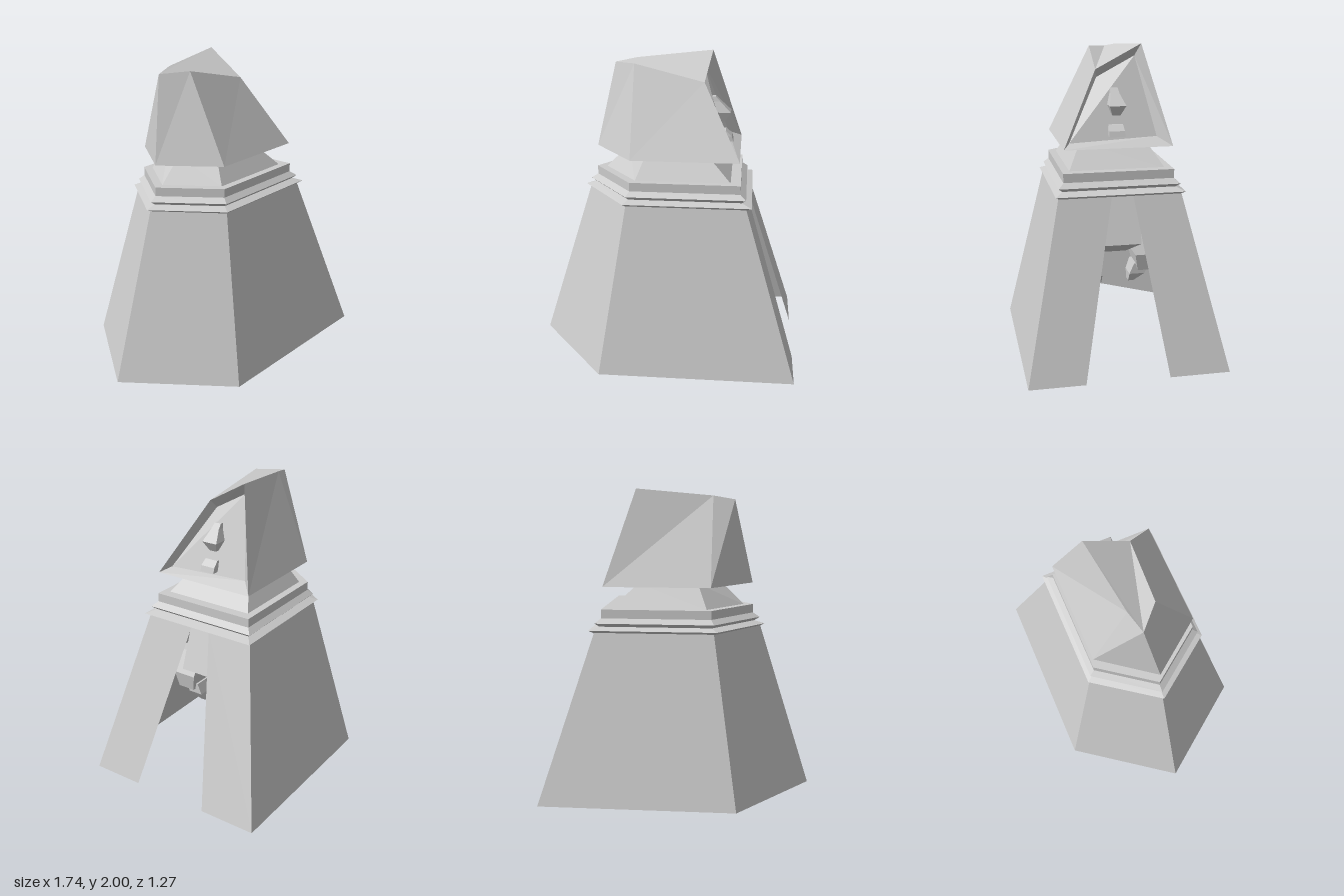
import * as THREE from 'three';

const material = new THREE.MeshStandardMaterial({
  color: 0xcccccc, flatShading: true, side: THREE.DoubleSide,
});

// Flat polygons, each a short loop of [x, y, z] corners
function facets(name, polygons) {
  const pos = [];
  for (const p of polygons) {
    for (let i = 1; i < p.length - 1; i++) pos.push(...p[0], ...p[i], ...p[i + 1]);
  }
  const geo = new THREE.BufferGeometry();
  geo.setAttribute('position', new THREE.Float32BufferAttribute(pos, 3));
  geo.computeVertexNormals();
  const mesh = new THREE.Mesh(geo, material);
  mesh.name = name;
  return mesh;
}

// Skin between successive loops of equal corner count, with optional end caps
function loft(name, loops, caps = true) {
  const polygons = [];
  for (let k = 0; k < loops.length - 1; k++) {
    const a = loops[k], b = loops[k + 1], n = a.length;
    for (let i = 0; i < n; i++) {
      const j = (i + 1) % n;
      polygons.push([a[i], b[i], b[j], a[j]]);
    }
  }
  if (caps) polygons.push(loops[0], [...loops[loops.length - 1]].reverse());
  return facets(name, polygons);
}

// Five-sided plan: point at the back (-x), flat at the front (+x)
const pentagon = (y, back, mid, front, z) => [
  [back, y, 0], [mid, y, -z], [front, y, -z], [front, y, z], [mid, y, z],
];

// Rectangular section
const rect = (y, x0, x1, z0, z1) => [[x0, y, z0], [x1, y, z0], [x1, y, z1], [x0, y, z1]];

export function createModel() {
  const model = new THREE.Group();
  model.name = 'hoodedFigure';

  // Cloak: flared thin shell, parted down the front
  const lo = pentagon(0, -0.87, -0.4, 0.87, 0.635);
  const hi = pentagon(1.09, -0.53, -0.24, 0.53, 0.39);
  const cloak = [0, 1, 3, 4].map((i) => {
    const j = (i + 1) % 5;
    return [lo[i], hi[i], hi[j], lo[j]];
  });
  cloak.push([lo[2], hi[2], [0.53, 1.09, -0.08], [0.87, 0, -0.25]]);
  cloak.push([lo[3], [0.87, 0, 0.28], [0.53, 1.09, 0.055], hi[3]]);
  model.add(facets('cloak', cloak));

  // Stepped collar with two sharp ridges
  model.add(loft('collar', [
    pentagon(1.085, -0.52, -0.24, 0.53, 0.385),
    pentagon(1.105, -0.56, -0.26, 0.565, 0.41),
    pentagon(1.125, -0.49, -0.225, 0.5, 0.36),
    pentagon(1.148, -0.525, -0.24, 0.527, 0.385),
    pentagon(1.178, -0.48, -0.22, 0.49, 0.352),
    pentagon(1.235, -0.48, -0.22, 0.49, 0.352),
    pentagon(1.235, -0.42, -0.19, 0.43, 0.307),
  ]));

  // Neck rising into the hood
  model.add(loft('neck', [
    pentagon(1.23, -0.42, -0.19, 0.43, 0.307),
    pentagon(1.39, -0.26, -0.125, 0.27, 0.21),
  ]));

  // Chest inside the parted cloak
  model.add(loft('chest', [
    rect(0.62, 0.1, 0.22, -0.105, 0.11),
    rect(0.77, 0.1, 0.54, -0.135, 0.13),
    rect(1.09, 0.1, 0.42, -0.135, 0.13),
  ]));

  // Hood: skewed shell with a slanting crown
  const B = [-0.475, 1.38, 0];
  const BL = [-0.215, 1.38, 0.345], BR = [-0.215, 1.38, -0.345];
  const FL = [0.48, 1.38, 0.345], FR = [0.48, 1.38, -0.345];
  const tB = [-0.355, 1.93, -0.07];
  const tL = [-0.215, 1.945, 0.065], tR = [-0.215, 1.955, -0.11];
  const tFL = [0.24, 1.84, 0.105], tFR = [0.28, 2.0, -0.18];
  model.add(facets('hood', [
    [BL, FL, tFL, tL],
    [B, BL, tL, tB],
    [BR, B, tB, tR],
    [FR, BR, tR, tFR],
    [tB, tL, tFL, tFR, tR],
    [B, BR, FR, FL, BL],
  ]));

  // Bevelled rim leading in to the sunken face
  const outer = [FL, FR, tFR, tFL];
  const inner = [[0.4, 1.405, 0.3], [0.39, 1.43, -0.26], [0.22, 1.92, -0.15], [0.19, 1.785, 0.09]];
  model.add(facets('hoodRim', outer.map((p, i) => {
    const j = (i + 1) % 4;
    return [p, outer[j], inner[j], inner[i]];
  })));
  model.add(facets('face', [inner]));

  // Nose and mouth
  model.add(loft('nose', [
    rect(1.565, 0.3, 0.37, -0.03, 0.02),
    rect(1.63, 0.27, 0.41, -0.06, 0.045),
    rect(1.7, 0.25, 0.34, -0.03, 0.025),
    rect(1.73, 0.23, 0.31, -0.025, 0.02),
  ]));
  model.add(loft('mouth', [
    rect(1.44, 0.34, 0.43, -0.05, 0.05),
    rect(1.475, 0.33, 0.42, -0.05, 0.05),
    rect(1.51, 0.31, 0.38, -0.045, 0.045),
  ]));

  // Sleeves and hands, one each side of the opening
  for (const s of [1, -1]) {
    const arm = new THREE.Group();
    arm.name = s > 0 ? 'leftArm' : 'rightArm';
    arm.add(loft('sleeve', [
      rect(0.55, 0.24, 0.42, 0.14 * s, 0.26 * s),
      rect(0.66, 0.2, 0.44, 0.12 * s, 0.28 * s),
      rect(0.8, 0.16, 0.36, 0.12 * s, 0.3 * s),
    ]));
    arm.add(loft('hand', [
      rect(0.46, 0.3, 0.36, 0.09 * s, 0.125 * s),
      rect(0.52, 0.28, 0.4, 0.09 * s, 0.19 * s),
      rect(0.59, 0.26, 0.4, 0.12 * s, 0.22 * s),
    ]));
    model.add(arm);
  }

  return model;
}
